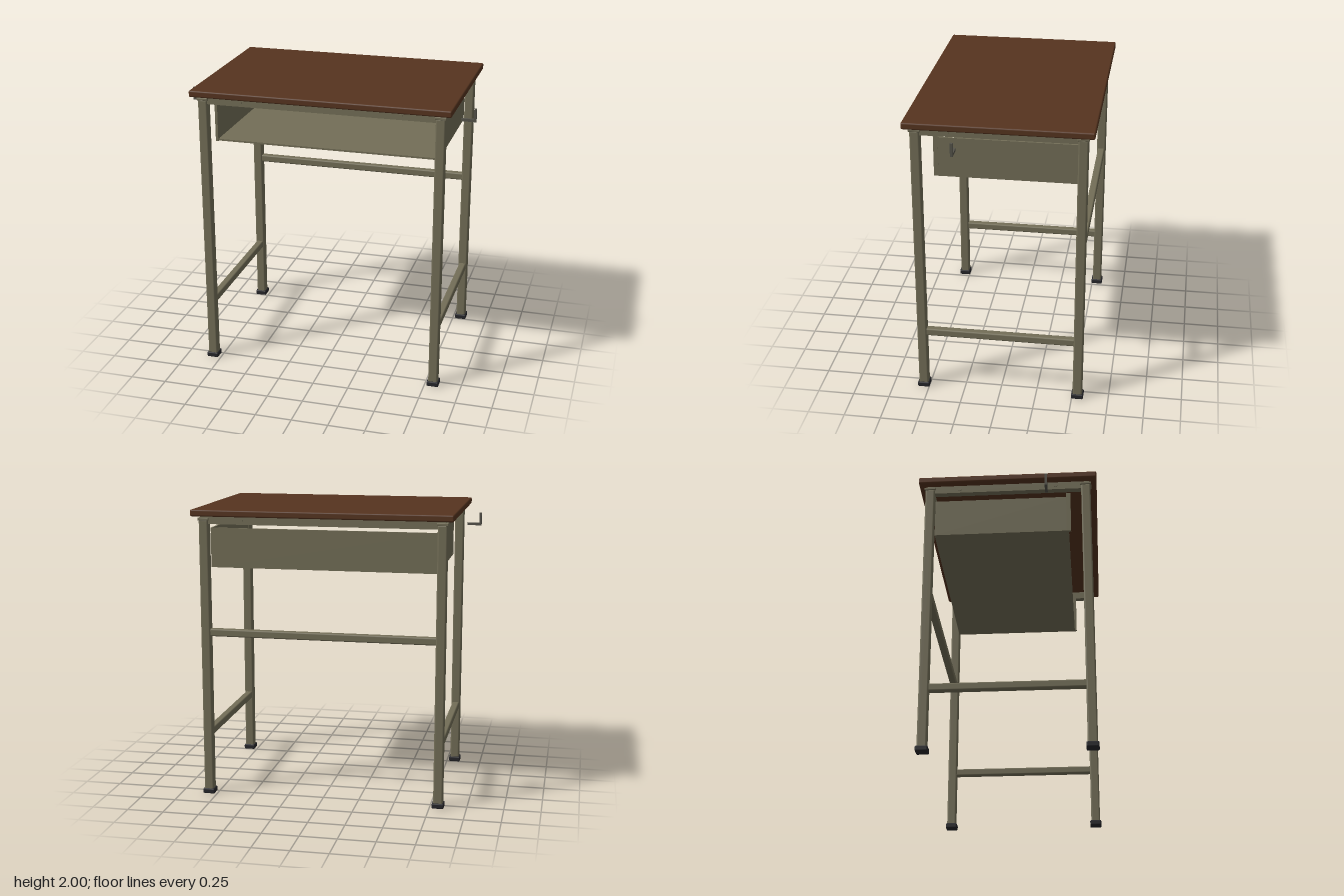
import * as THREE from 'three';
import { RoundedBoxGeometry } from 'three/addons/geometries/RoundedBoxGeometry.js';

const material = (name, color) => {
  const m = new THREE.MeshStandardMaterial({ color });
  m.name = name;
  return m;
};

export function createModel() {
  const wood = material('brown wood', 0x56341f);
  const steel = material('olive painted steel', 0x736e57);
  const rubber = material('black rubber', 0x26262a);
  const hookMetal = material('dark hook metal', 0x55534a);

  const desk = new THREE.Group();
  desk.name = 'schoolDesk';

  const add = (name, geometry, mat, x, y, z) => {
    const mesh = new THREE.Mesh(geometry, mat);
    mesh.name = name;
    mesh.position.set(x, y, z);
    desk.add(mesh);
    return mesh;
  };
  const box = (name, mat, w, h, d, x, y, z) =>
    add(name, new THREE.BoxGeometry(w, h, d), mat, x, y, z);
  const rounded = (name, mat, w, h, d, x, y, z, r) =>
    add(name, new RoundedBoxGeometry(w, h, d, 2, r), mat, x, y, z);

  // Worktop
  rounded('tabletop', wood, 1.77, 0.045, 1.226, 0, 1.9775, 0, 0.01);

  const legX = 0.8075, legZ = 0.5375, tube = 0.065;
  for (const sx of [-1, 1]) {
    for (const sz of [-1, 1]) {
      // Legs with rubber feet and top caps
      const end = (sx > 0 ? 'left' : 'right') + (sz > 0 ? 'Front' : 'Back');
      rounded(end + 'Leg', steel, tube, 1.91, tube, sx * legX, 0.975, sz * legZ, 0.011);
      rounded(end + 'LegCap', steel, 0.076, 0.018, 0.076, sx * legX, 1.934, sz * legZ, 0.004);
      rounded(end + 'Foot', rubber, 0.082, 0.036, 0.082, sx * legX, 0.018, sz * legZ, 0.008);
    }
    const side = sx > 0 ? 'left' : 'right';

    // Side members
    box(side + 'TopRail', steel, 0.045, 0.055, 1.12, sx * 0.8075, 1.9275, 0);
    rounded(side + 'Stretcher', steel, 0.05, 0.052, 1.03, sx * legX, 0.44, 0, 0.01);

    // Tray side panel and its hanging strip
    box(side + 'TrayPanel', steel, 0.012, 0.27, 0.905, sx * 0.768, 1.735, -0.0525);
    box(side + 'TrayHanger', steel, 0.018, 0.3, 0.03, sx * 0.766, 1.75, 0.415);

    // Bag hook
    box(side + 'HookArm', hookMetal, 0.1, 0.018, 0.018, sx * 0.939, 1.845, 0.27);
    box(side + 'HookTip', hookMetal, 0.016, 0.07, 0.018, sx * 0.981, 1.889, 0.27);
  }

  // Front and back members of the top frame
  for (const sz of [-1, 1]) {
    box(sz > 0 ? 'frontTopRail' : 'backTopRail', steel, 1.66, 0.055, 0.045, 0, 1.9275, sz * 0.5375);
  }

  // Frame bolts
  const boltGeometry = new THREE.CylinderGeometry(0.013, 0.013, 0.008, 16);
  for (const s of [-1, 1]) {
    for (const t of [-1, 1]) {
      add('railBolt', boltGeometry, steel, s * 0.545, 1.928, t * 0.562).rotation.x = Math.PI / 2;
      add('sideRailBolt', boltGeometry, steel, t * 0.832, 1.928, s * 0.33).rotation.z = Math.PI / 2;
    }
  }

  // Crossbar between the back legs
  rounded('backCrossbar', steel, 1.57, 0.052, 0.05, 0, 1.155, -legZ, 0.01);

  // Open-fronted book tray
  box('trayFloor', steel, 1.548, 0.012, 0.92, 0, 1.606, -0.045);
  box('trayBack', steel, 1.548, 0.27, 0.012, 0, 1.735, -0.5);

  return desk;
}
